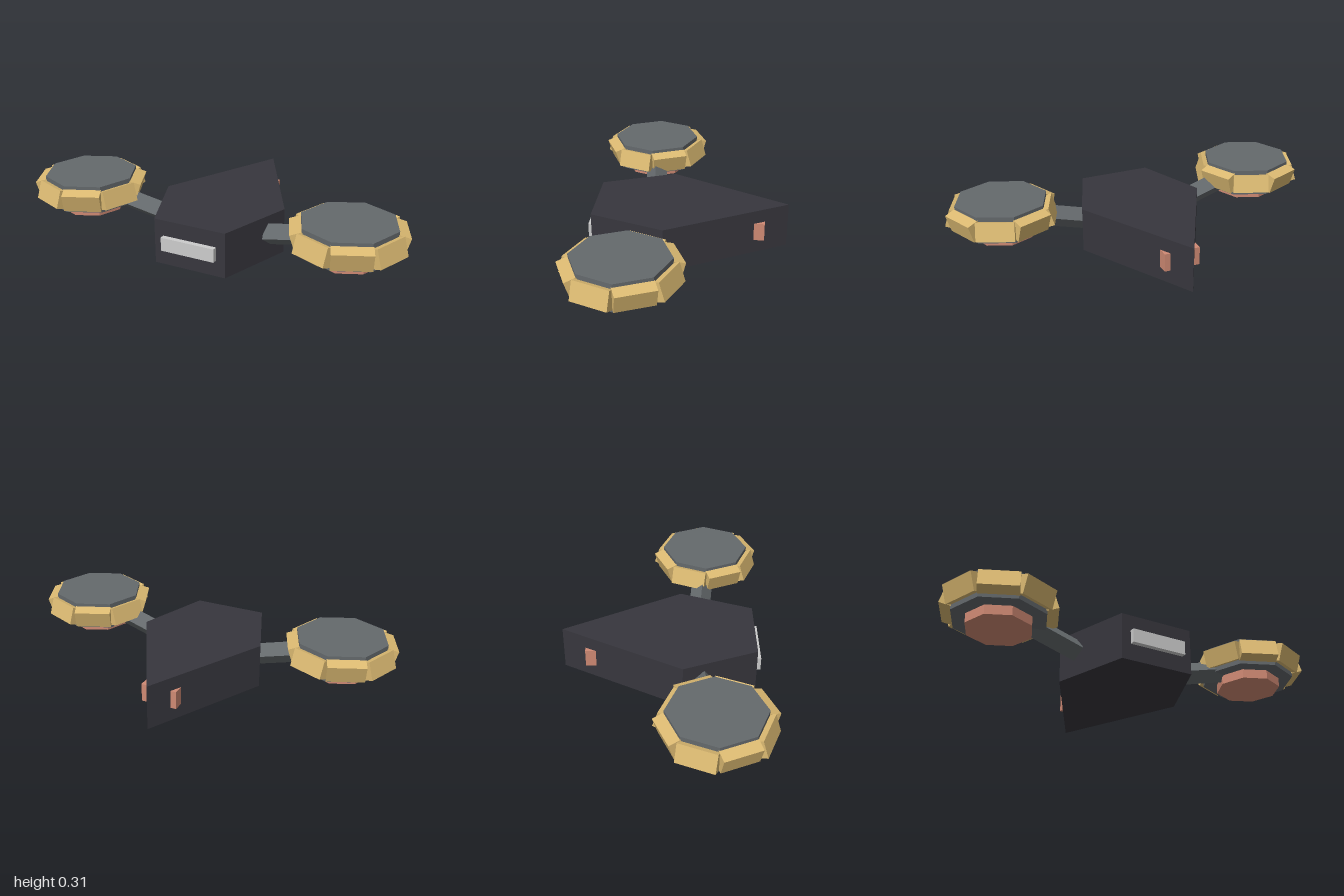
import * as THREE from 'three';

const mat = (name, color) => {
  const m = new THREE.MeshStandardMaterial({ color, flatShading: true });
  m.name = name;
  return m;
};

export function createModel() {
  const hullDark = mat('hullDark', 0x37363d);
  const steelGrey = mat('steelGrey', 0x64696c);
  const gold = mat('gold', 0xdcba72);
  const coral = mat('coral', 0xd08a74);
  const lightGrey = mat('lightGrey', 0xcccccc);

  const model = new THREE.Group();
  const add = (parent, name, geometry, material, x = 0, y = 0, z = 0) => {
    const mesh = new THREE.Mesh(geometry, material);
    mesh.name = name;
    mesh.position.set(x, y, z);
    parent.add(mesh);
    return mesh;
  };

  // Hull: five-sided prism with its point at the back
  const outline = [[-0.19, 0.467], [0.19, 0.467], [0.33, 0.09], [0, -0.525], [-0.33, 0.09]];
  const shape = new THREE.Shape(outline.map(([x, z]) => new THREE.Vector2(x, -z)));
  const hull = new THREE.ExtrudeGeometry(shape, { depth: 0.235, bevelEnabled: false });
  add(model, 'hull', hull.rotateX(-Math.PI / 2), hullDark);

  // Front panel, and a tail block passing through the hull
  add(model, 'frontPanel', new THREE.BoxGeometry(0.285, 0.07, 0.035), lightGrey, 0, 0.119, 0.475);
  add(model, 'tailBlock', new THREE.BoxGeometry(0.187, 0.094, 0.055), coral, 0, 0.118, -0.378);

  for (const side of [1, -1]) {
    // Four-sided strut rising out to the pod
    const from = new THREE.Vector3(side * 0.285, 0.134, 0.19);
    const to = new THREE.Vector3(side * 0.71, 0.235, 0.234);
    const dir = to.clone().sub(from);
    const arm = add(model, side > 0 ? 'leftArm' : 'rightArm',
      new THREE.CylinderGeometry(0.057, 0.057, dir.length(), 4), steelGrey);
    arm.position.copy(from).add(to).multiplyScalar(0.5);
    arm.quaternion.setFromUnitVectors(new THREE.Vector3(0, 1, 0), dir.normalize());

    // Octagonal pod with a smaller thruster disc underneath
    const pod = new THREE.Group();
    pod.name = side > 0 ? 'leftPod' : 'rightPod';
    pod.position.set(side * 0.71, 0, 0.234);
    model.add(pod);
    add(pod, 'podDisc', new THREE.CylinderGeometry(0.237, 0.237, 0.14, 8), steelGrey, 0, 0.237, 0);
    add(pod, 'thruster', new THREE.CylinderGeometry(0.165, 0.165, 0.05, 8), coral, 0, 0.144, 0);

    // Rim plates leaning alternately out and in
    for (let i = 0; i < 8; i++) {
      const a = (i + 0.5) * Math.PI / 4;
      const plate = add(pod, 'rimPlate', new THREE.BoxGeometry(0.19, 0.095, 0.06), gold,
        Math.sin(a) * 0.231, 0.237, Math.cos(a) * 0.231);
      plate.rotation.set(i % 2 ? -0.3 : 0.3, a, 0, 'YXZ');
    }
  }
  return model;
}
